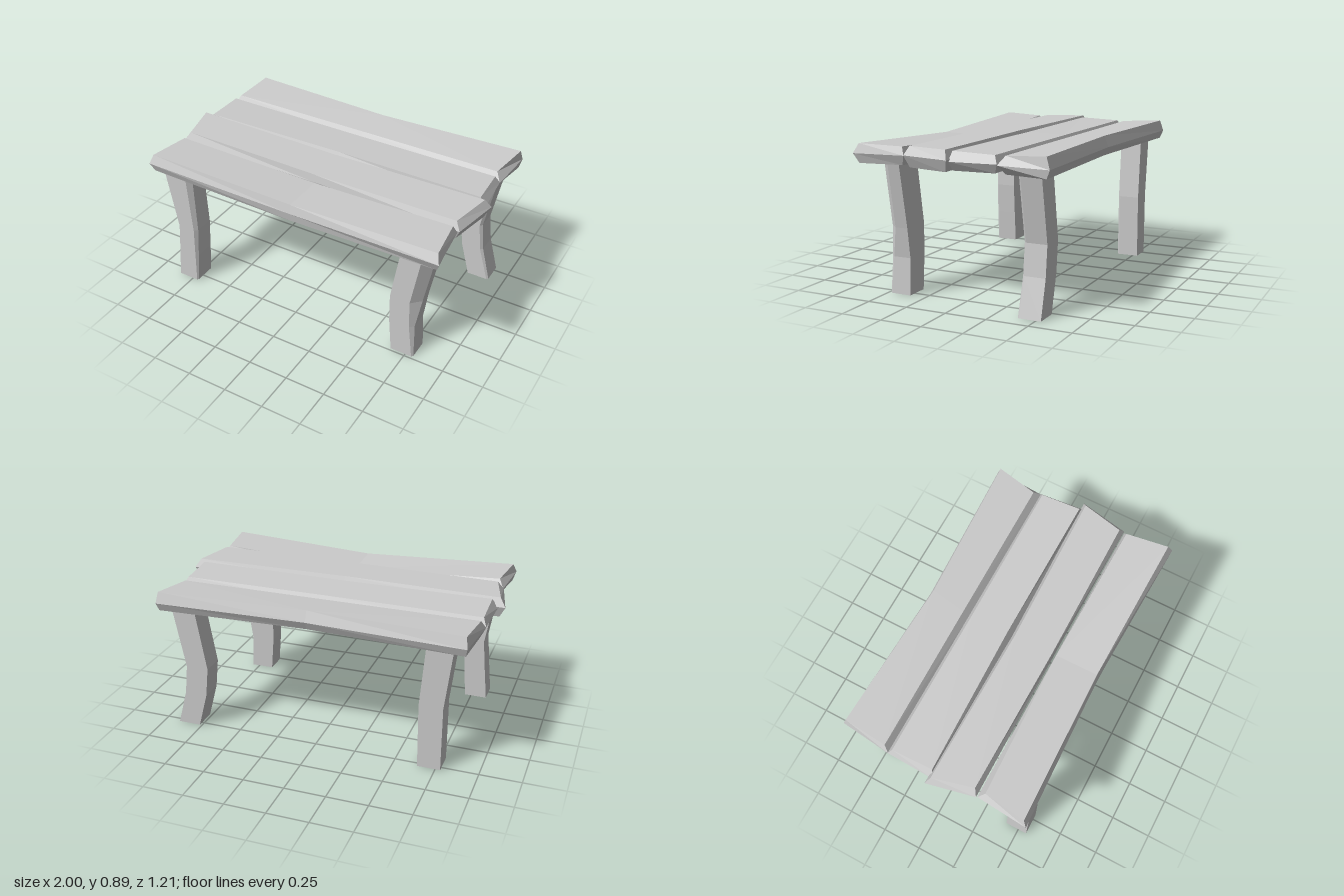
import * as THREE from 'three';

const material = new THREE.MeshStandardMaterial({ color: 0xcccccc, flatShading: true });

// Skins a stack of rings (bottom to top, points running back-left, back-right, front-right, front-left)
function loft(name, rings) {
  const pos = [];
  const tri = (a, b, c) => pos.push(...a, ...b, ...c);
  const n = rings[0].length;
  for (let r = 0; r < rings.length - 1; r++) {
    for (let i = 0; i < n; i++) {
      const j = (i + 1) % n, lo = rings[r], hi = rings[r + 1];
      tri(lo[i], hi[i], hi[j]);
      tri(lo[i], hi[j], lo[j]);
    }
  }
  const bottom = rings[0], top = rings[rings.length - 1];
  for (let k = 2; k < n; k++) {
    const a = k, b = (k + 1) % n;
    tri(bottom[1], bottom[a], bottom[b]);
    tri(top[1], top[b], top[a]);
  }
  const geometry = new THREE.BufferGeometry();
  geometry.setAttribute('position', new THREE.Float32BufferAttribute(pos, 3));
  geometry.computeVertexNormals();
  const mesh = new THREE.Mesh(geometry, material);
  mesh.name = name;
  return mesh;
}

// Bevelled plank: each outline is six [x, z] points, bent in the middle; sag lowers the middle
function plank(name, { rim, top, y, sag = 0 }) {
  const [yBottom, yRim, yTopBack, yTopFront] = y;
  const isMid = (i) => i === 1 || i === 4;
  const ring = (outline, yBack, yFront, drop) =>
    outline.map(([x, z], i) => [x, (i < 3 ? yBack : yFront) - (isMid(i) ? drop : 0), z]);
  return loft(name, [
    ring(top, yBottom, yBottom, sag),
    ring(rim, yRim, yRim, sag),
    ring(top, yTopBack, yTopFront, sag),
  ]);
}

// Crooked leg: levels of [y, xMin, xMax, zMin, zMax, chamfer]
function leg(name, levels) {
  return loft(name, levels.map(([y, x0, x1, z0, z1, c]) => [
    [x0, y, z0], [x1, y, z0], [x1, y, z1 - c], [x1 - c, y, z1], [x0, y, z1],
  ]));
}

export function createModel() {
  const group = new THREE.Group();
  group.name = 'table';

  // Table top: four uneven planks, back to front
  const planks = {
    backPlank: {
      rim: [[-0.91, -0.605], [0.03, -0.565], [0.96, -0.602], [0.94, -0.29], [0, -0.29], [-0.945, -0.29]],
      top: [[-0.9, -0.585], [0.03, -0.54], [0.95, -0.58], [0.905, -0.325], [0, -0.323], [-0.92, -0.32]],
      y: [0.775, 0.825, 0.892, 0.875],
    },
    backMiddlePlank: {
      rim: [[-0.945, -0.292], [0, -0.29], [0.94, -0.29], [0.965, -0.012], [0, -0.002], [-0.955, -0.002]],
      top: [[-0.925, -0.268], [0, -0.265], [0.915, -0.268], [0.93, -0.02], [0, -0.028], [-0.92, -0.012]],
      y: [0.778, 0.83, 0.876, 0.885],
    },
    frontMiddlePlank: {
      rim: [[-1, -0.02], [0, 0.0], [1, -0.02], [0.94, 0.285], [0, 0.272], [-0.935, 0.272]],
      top: [[-0.965, 0.005], [0, 0.022], [0.965, 0.005], [0.91, 0.262], [0, 0.265], [-0.9, 0.25]],
      y: [0.773, 0.842, 0.894, 0.892],
    },
    frontPlank: {
      rim: [[-0.93, 0.278], [0.02, 0.277], [0.93, 0.29], [0.965, 0.6], [0.02, 0.562], [-0.955, 0.595]],
      top: [[-0.9, 0.315], [0.02, 0.285], [0.91, 0.31], [0.945, 0.572], [0.02, 0.55], [-0.935, 0.572]],
      y: [0.782, 0.838, 0.886, 0.894],
      sag: 0.038,
    },
  };
  for (const [name, data] of Object.entries(planks)) group.add(plank(name, data));

  // Legs: each bends inward at mid height and flares toward the top
  const legs = {
    frontLeftLeg: [
      [0, 0.655, 0.8, 0.35, 0.485, 0.01],
      [0.22, 0.637, 0.79, 0.35, 0.485, 0.025],
      [0.4, 0.635, 0.815, 0.35, 0.485, 0.055],
      [0.8, 0.7, 0.89, 0.35, 0.485, 0.06],
    ],
    frontRightLeg: [
      [0, -0.85, -0.71, 0.415, 0.555, 0.008],
      [0.2, -0.83, -0.695, 0.415, 0.555, 0.015],
      [0.4, -0.812, -0.682, 0.415, 0.555, 0.02],
      [0.8, -0.88, -0.695, 0.415, 0.555, 0.03],
    ],
    backLeftLeg: [
      [0, 0.765, 0.905, -0.53, -0.39, 0.01],
      [0.22, 0.705, 0.845, -0.53, -0.39, 0.015],
      [0.4, 0.685, 0.825, -0.53, -0.39, 0.015],
      [0.82, 0.755, 0.905, -0.53, -0.39, 0.015],
    ],
    backRightLeg: [
      [0, -0.78, -0.642, -0.53, -0.39, 0.01],
      [0.4, -0.78, -0.637, -0.53, -0.39, 0.015],
      [0.82, -0.83, -0.672, -0.53, -0.39, 0.015],
    ],
  };
  for (const [name, levels] of Object.entries(legs)) group.add(leg(name, levels));

  return group;
}
